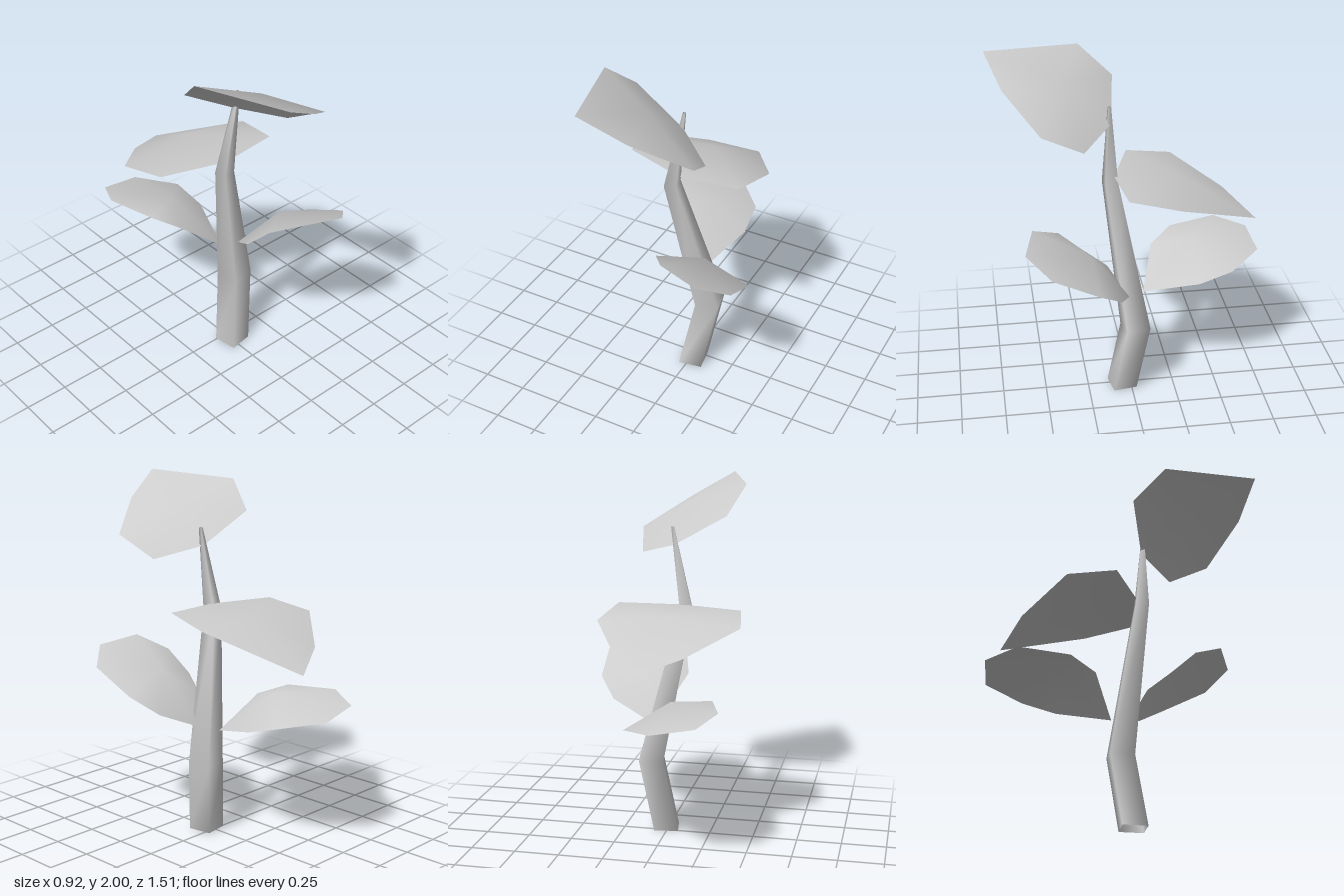
import * as THREE from 'three';

const grey = new THREE.MeshStandardMaterial({ color: 0xcccccc, side: THREE.DoubleSide });
grey.name = 'pale grey';

function meshFrom(name, points, index) {
  const g = new THREE.BufferGeometry();
  g.setAttribute('position', new THREE.Float32BufferAttribute(points.flat(), 3));
  g.setIndex(index);
  g.computeVertexNormals();
  const mesh = new THREE.Mesh(g, grey);
  mesh.name = name;
  return mesh;
}

// Bent, tapering four-sided stem, open at the bottom: [x, y, z, radius] per ring
function makeStem() {
  const rings = [
    [0.0125, 0, 0.05, 0.097],
    [0.085, 0.43, -0.018, 0.097],
    [-0.09, 1.27, 0.1, 0.051],
    [-0.008, 1.74, 0.11, 0.011],
  ];
  const sides = 4, turn = 0.62, points = [], index = [];
  rings.forEach(([x, y, z, r], j) => {
    // Rings lean a little with the bends
    const a = rings[Math.max(j - 1, 0)], b = rings[Math.min(j + 1, 3)];
    const lean = j === 1 || j === 2 ? 1 : 0;
    const sx = lean * (b[0] - a[0]) / (b[1] - a[1]), sz = lean * (b[2] - a[2]) / (b[1] - a[1]);
    for (let i = 0; i < sides; i++) {
      const t = turn + (i / sides) * Math.PI * 2;
      const dx = r * Math.cos(t), dz = r * Math.sin(t);
      points.push([x + dx, y - dx * sx - dz * sz, z + dz]);
      if (j < rings.length - 1) {
        const p = j * sides + i, q = j * sides + (i + 1) % sides;
        index.push(p, p + sides, q, q, p + sides, q + sides);
      }
    }
  });
  // Small cap at the tip
  index.push(12, 14, 13, 12, 15, 14);
  return meshFrom('stem', points, index);
}

// Leaf: a fan from a raised middle point to its rim, facing upwards
function makeLeaf(name, middle, rim) {
  const n = rim.length;
  let area = 0;
  rim.forEach((p, i) => {
    const q = rim[(i + 1) % n];
    area += p[2] * q[0] - p[0] * q[2];
  });
  const ordered = area > 0 ? rim : [...rim].reverse();
  const index = [];
  for (let i = 0; i < n; i++) index.push(0, i + 1, ((i + 1) % n) + 1);
  return meshFrom(name, [middle, ...ordered], index);
}

export function createModel() {
  const group = new THREE.Group();
  group.name = 'plant';
  group.add(makeStem());

  group.add(makeLeaf('topLeaf', [-0.07, 1.86, 0.36], [
    [-0.02, 1.64, 0.1], [-0.32, 1.81, 0.055], [-0.4, 1.97, 0.235], [-0.25, 2, 0.755],
    [-0.01, 1.86, 0.675], [0.25, 1.69, 0.495], [0.2, 1.57, 0.27],
  ]));

  group.add(makeLeaf('upperBackLeaf', [-0.03, 1.31, -0.28], [
    [-0.06, 1.31, 0.08], [-0.42, 1.31, -0.035], [-0.46, 1.265, -0.3], [-0.2, 1.145, -0.56],
    [0.06, 1.06, -0.7], [0.335, 1.265, -0.235], [0.285, 1.315, 0.045],
  ]));

  group.add(makeLeaf('lowerFrontLeaf', [0.18, 0.95, 0.24], [
    [0.11, 0.64, 0.02], [0.335, 0.74, 0.09], [0.44, 0.84, 0.22], [0.455, 0.965, 0.475],
    [0.315, 1.05, 0.605], [0.08, 1.08, 0.55], [-0.03, 1, 0.4], [-0.07, 0.87, 0.27], [-0.02, 0.78, 0.13],
  ]));

  group.add(makeLeaf('lowerBackLeaf', [-0.1, 0.865, -0.36], [
    [0.03, 0.62, -0.07], [-0.2, 0.805, -0.15], [-0.31, 0.86, -0.28], [-0.39, 0.87, -0.555],
    [-0.305, 0.83, -0.735], [-0.07, 0.79, -0.755], [0.11, 0.755, -0.57], [0.13, 0.7, -0.38],
  ]));

  return group;
}
